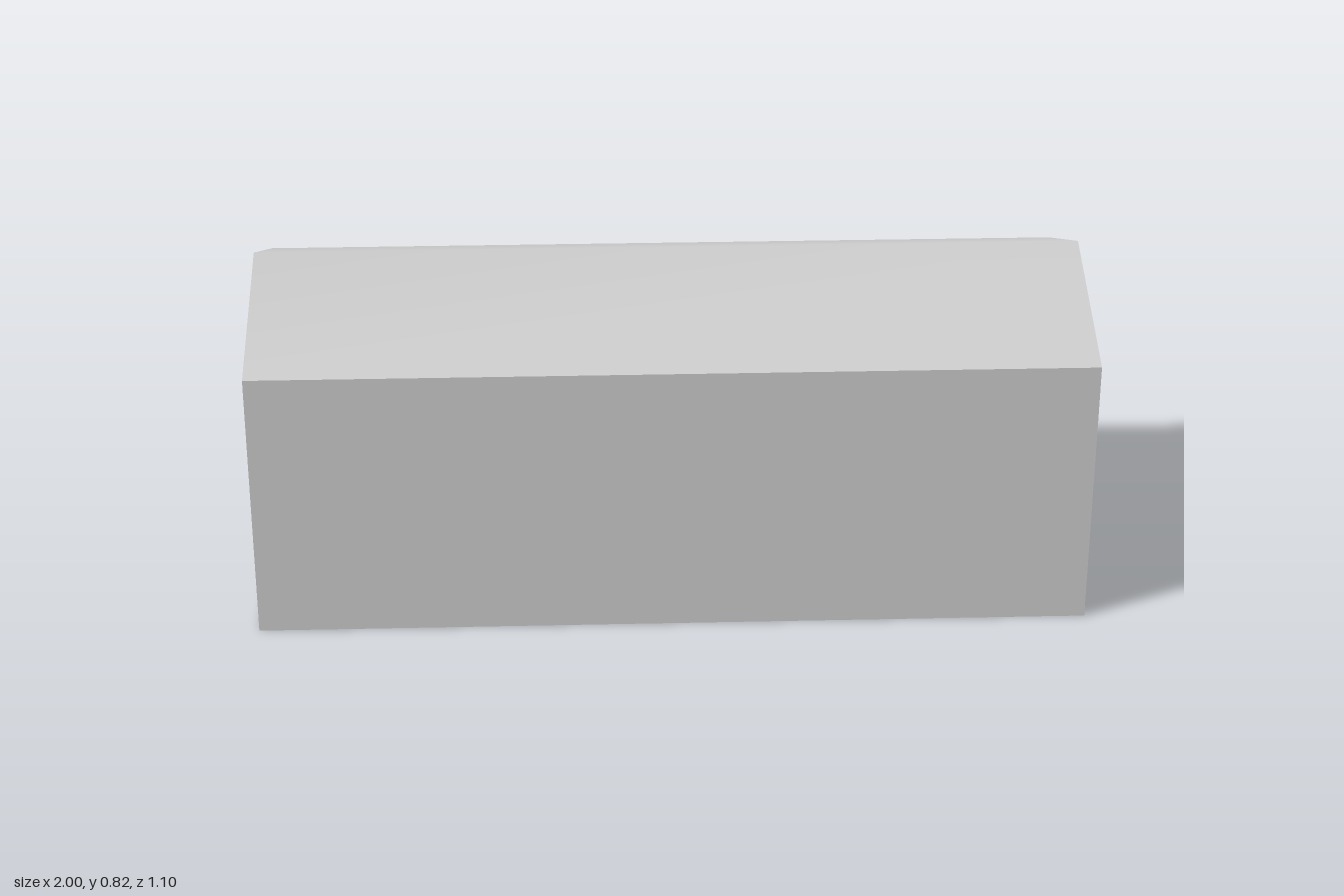
import * as THREE from 'three';
import { toCreasedNormals } from 'three/addons/utils/BufferGeometryUtils.js';

const material = new THREE.MeshStandardMaterial({ color: 0xcccccc });

// Extrudes a closed outline along +z
function extrude(points, depth) {
  const shape = new THREE.Shape(points.map(([x, y]) => new THREE.Vector2(x, y)));
  return new THREE.ExtrudeGeometry(shape, { depth, bevelEnabled: false });
}

function addMesh(group, name, geometry) {
  const mesh = new THREE.Mesh(geometry, material);
  mesh.name = name;
  group.add(mesh);
}

export function createModel() {
  const group = new THREE.Group();
  group.name = 'building';

  const front = 0.548, back = -0.243, ridge = (front + back) / 2;
  const eaveY = 0.667, ridgeY = 0.822;

  // Gabled hall: end profile in (-z, y), swept along x; ridge shaded softly
  const hall = extrude([
    [-front, 0], [-back, 0], [-back, eaveY], [-ridge, ridgeY], [-front, eaveY],
  ], 2);
  hall.rotateY(Math.PI / 2).translate(-1, 0, 0);
  addMesh(group, 'gabledHall', toCreasedNormals(hall, THREE.MathUtils.degToRad(52)));

  // Raised loading deck along the back, sloping to the ground as a ramp
  const top = 0.178, thick = 0.034, bendX = -0.37, endX = -0.674, foot = 0.004;
  const deck = extrude([
    [1, top - thick], [1, top], [bendX, top],
    [endX, foot + thick], [endX, foot], [bendX, top - thick],
  ], back + 0.548);
  deck.translate(0, 0, -0.548);
  addMesh(group, 'deckAndRamp', deck);

  return group;
}
